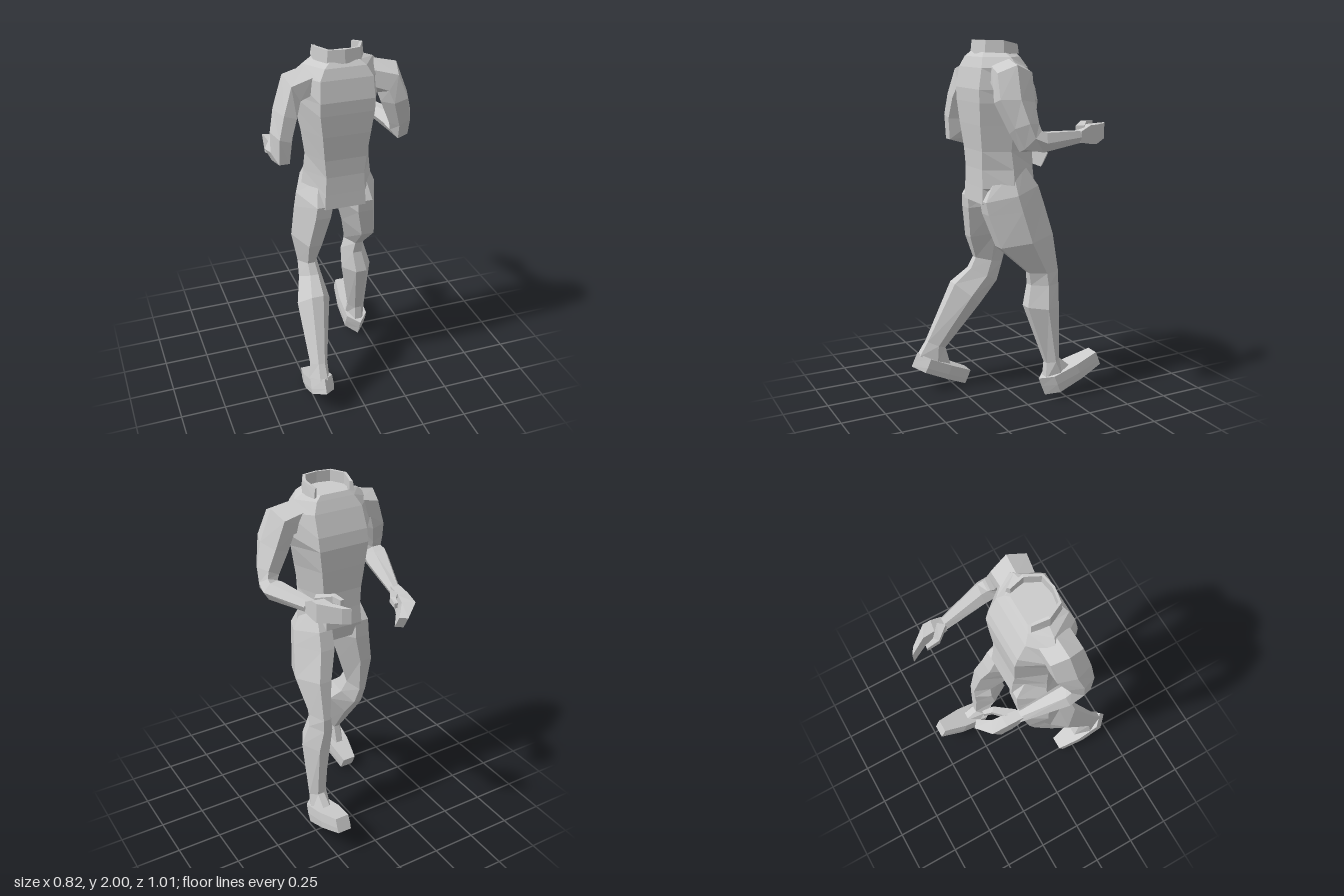
import * as THREE from 'three';

const V = (x, y, z) => new THREE.Vector3(x, y, z);
const material = new THREE.MeshStandardMaterial({ color: 0xcccccc, flatShading: true });

// Skin a list of equal-length point rings, cap both ends, and face outwards
function loft(name, rings) {
  const tris = [];
  const n = rings[0].length;
  for (let i = 0; i + 1 < rings.length; i++) {
    for (let j = 0; j < n; j++) {
      const k = (j + 1) % n;
      const [a, b, c, d] = [rings[i][j], rings[i][k], rings[i + 1][k], rings[i + 1][j]];
      tris.push([a, b, c], [a, c, d]);
    }
  }
  for (const [ring, flip] of [[rings[0], true], [rings[rings.length - 1], false]]) {
    const mid = ring.reduce((s, p) => s.add(p), V(0, 0, 0)).divideScalar(n);
    ring.forEach((p, j) => {
      const q = ring[(j + 1) % n];
      tris.push(flip ? [mid, q, p] : [mid, p, q]);
    });
  }
  let volume = 0;
  for (const [a, b, c] of tris) volume += a.dot(V(0, 0, 0).crossVectors(b, c));
  if (volume < 0) tris.forEach((t) => t.reverse());
  const geometry = new THREE.BufferGeometry().setFromPoints(tris.flat());
  geometry.computeVertexNormals();
  const mesh = new THREE.Mesh(geometry, material);
  mesh.name = name;
  return mesh;
}

// Six-sided section with corners at +-u and flats facing +-v
function hex(c, u, v, flat = 0.5) {
  return [[1, 0], [flat, 1], [-flat, 1], [-1, 0], [-flat, -1], [flat, -1]].map(([a, b]) =>
    V(...c).addScaledVector(V(...u), a).addScaledVector(V(...v), b));
}

// Four-sided section
function quad(c, u, v) {
  return [[1, 1], [-1, 1], [-1, -1], [1, -1]].map(([a, b]) =>
    V(...c).addScaledVector(V(...u), a).addScaledVector(V(...v), b));
}

// Leg section from an x range and its rear and forward points as [y, z]
function legRing([x0, x1, [yb, zb], [yf, zf]]) {
  return hex([(x0 + x1) / 2, (yb + yf) / 2, (zb + zf) / 2],
    [(x1 - x0) / 2, 0, 0], [0, (yb - yf) / 2, (zb - zf) / 2], 0.36);
}

// Torso section: height, rear z, forward z, half width, flat half width, z of the side corners
function torsoRing([y, zb, zf, w, flat, side]) {
  const ring = hex([-0.015, y, (zb + zf) / 2], [w, 0, 0], [0, 0, (zb - zf) / 2], flat / w);
  ring[0].z = ring[3].z = side;
  return ring;
}

// Shoe with a pointed heel, tilted along the line from heel to toe
function foot(name, x, [hy, hz], [ty, tz], heelRise) {
  const outline = [[0, 0], [0.066, 0.19], [0.066, 0.6], [0.042, 1], [-0.042, 1], [-0.066, 0.6], [-0.066, 0.19]];
  const length = Math.hypot(ty - hy, tz - hz);
  const up = V(0, -(tz - hz) / length, (ty - hy) / length);
  const ring = (h, s) => outline.map(([w, t]) =>
    V(x + w * s, hy + (ty - hy) * t, hz + (tz - hz) * t)
      .addScaledVector(up, h + (h > 0 ? heelRise * (1 - t) : 0)));
  return loft(name, [ring(0, 0.95), ring(0.03, 1), ring(0.084, 0.96)]);
}

export function createModel() {
  const model = new THREE.Group();

  // Trunk from crotch to neck base
  model.add(loft('torso', [
    [1.08, 0.08, 0.02, 0.03, 0.02, 0.05],
    [1.135, 0.203, -0.09, 0.15, 0.115, 0.05],
    [1.22, 0.2, -0.118, 0.2, 0.11, 0.05],
    [1.32, 0.198, -0.108, 0.188, 0.105, 0.05],
    [1.42, 0.203, -0.1, 0.18, 0.115, 0.06],
    [1.56, 0.22, -0.11, 0.2, 0.13, 0.06],
    [1.68, 0.23, -0.115, 0.225, 0.145, 0.045],
    [1.75, 0.233, -0.1, 0.245, 0.145, 0.025],
    [1.86, 0.215, -0.055, 0.245, 0.14, 0.05],
    [1.915, 0.195, -0.025, 0.19, 0.11, 0.07],
    [1.94, 0.175, -0.01, 0.125, 0.08, 0.075],
  ].map(torsoRing)));

  // Standing collar, open on the forward side
  const collarPath = [[0.112, -0.01, 1.98], [0.128, 0.08, 2], [0.085, 0.165, 2], [0, 0.18, 2],
    [-0.085, 0.165, 2], [-0.128, 0.08, 2], [-0.112, -0.01, 1.98]];
  model.add(loft('collar', collarPath.map(([x, z, top]) => {
    const at = (s, y) => V(-0.015 + x * s, y, 0.075 + (z - 0.075) * s);
    return [at(1.06, 1.93), at(1, top), at(0.88, top), at(0.88, 1.93)];
  })));

  // Legs: the left one strides forward, the right one trails
  model.add(loft('leftLeg', [
    [0.03, 0.155, [1.28, 0.13], [1.34, -0.04]],
    [-0.01, 0.21, [1.15, 0.2], [1.22, -0.118]],
    [-0.01, 0.222, [1.08, 0.188], [1.12, -0.15]],
    [0.045, 0.243, [0.9, 0.13], [0.95, -0.19]],
    [0.1, 0.215, [0.74, -0.045], [0.73, -0.228]],
    [0.08, 0.225, [0.67, -0.055], [0.66, -0.23]],
    [0.08, 0.26, [0.55, -0.025], [0.53, -0.222]],
    [0.14, 0.25, [0.21, -0.14], [0.23, -0.22]],
    [0.137, 0.257, [0.1, -0.13], [0.15, -0.31]],
  ].map(legRing)));
  model.add(loft('rightLeg', [
    [-0.185, -0.06, [1.28, 0.13], [1.34, -0.04]],
    [-0.243, -0.02, [1.15, 0.2], [1.22, -0.112]],
    [-0.255, -0.02, [1.08, 0.195], [1.12, -0.112]],
    [-0.273, -0.075, [0.9, 0.165], [0.95, -0.095]],
    [-0.24, -0.13, [0.77, 0.12], [0.73, -0.05]],
    [-0.245, -0.115, [0.71, 0.155], [0.62, -0.01]],
    [-0.287, -0.1, [0.63, 0.255], [0.49, 0.1]],
    [-0.275, -0.175, [0.29, 0.41], [0.24, 0.3]],
    [-0.288, -0.168, [0.21, 0.46], [0.13, 0.27]],
  ].map(legRing)));
  model.add(foot('leftFoot', 0.197, [0.012, -0.14], [0.15, -0.485], 0.03));
  model.add(foot('rightFoot', -0.228, [0.15, 0.505], [0, 0.185], 0));

  // Arms, bent at the elbow
  model.add(loft('leftArm', [
    hex([0.14, 1.83, 0.08], [0.02, 0.08, 0], [0, 0, 0.09]),
    hex([0.245, 1.8, 0.095], [0.05, 0.08, 0], [0, 0, 0.1]),
    hex([0.285, 1.69, 0.105], [0.073, 0.02, 0], [0, 0.01, 0.1]),
    hex([0.335, 1.56, 0.075], [0.06, 0.03, 0], [0, -0.01, 0.07]),
    hex([0.348, 1.495, 0.045], [0.055, 0.02, 0], [0, -0.045, 0.05]),
    hex([0.347, 1.488, -0.03], [0.064, 0, 0.01], [0, -0.05, 0.01]),
    hex([0.284, 1.495, -0.29], [0.037, 0, 0.01], [0, -0.032, 0]),
  ]));
  model.add(loft('rightArm', [
    hex([-0.17, 1.83, 0.08], [-0.02, 0.08, 0], [0, 0, 0.09]),
    hex([-0.27, 1.8, 0.09], [-0.045, 0.08, 0], [0, 0, 0.09]),
    hex([-0.308, 1.69, 0.11], [-0.066, 0.02, 0], [0, 0, 0.095]),
    hex([-0.34, 1.58, 0.14], [-0.06, 0.02, 0], [0, -0.01, 0.075]),
    hex([-0.346, 1.49, 0.145], [-0.055, 0, 0], [0, -0.05, 0.06]),
    hex([-0.345, 1.465, 0.06], [-0.064, 0.01, 0], [0, -0.06, 0.01]),
    hex([-0.305, 1.375, -0.18], [-0.03, 0, 0], [0, -0.034, -0.01]),
  ]));

  // Curled mitten hands with separate thumbs
  model.add(loft('leftHand', [
    quad([0.284, 1.495, -0.28], [0.03, 0, 0], [0, 0.03, 0]),
    quad([0.279, 1.505, -0.345], [0.032, 0, 0.005], [0, 0.05, 0]),
    quad([0.275, 1.505, -0.4], [0.034, 0, 0.016], [0, 0.052, 0]),
    quad([0.205, 1.51, -0.495], [0.02, 0, 0.012], [0, 0.042, 0]),
  ]));
  model.add(loft('leftThumb', [
    quad([0.268, 1.53, -0.3], [0.015, 0, -0.018], [0, 0.022, 0]),
    quad([0.198, 1.55, -0.365], [0.014, 0, -0.01], [0, 0.018, 0]),
    quad([0.187, 1.55, -0.425], [0.01, 0, 0], [0, 0.014, 0]),
  ]));
  model.add(loft('rightHand', [
    quad([-0.305, 1.378, -0.17], [0.026, 0, 0], [0, 0.032, 0.01]),
    quad([-0.296, 1.355, -0.24], [0.031, 0, 0], [0, 0.045, -0.015]),
    quad([-0.288, 1.335, -0.295], [0.033, 0, 0.016], [0, 0.045, -0.025]),
    quad([-0.218, 1.298, -0.36], [0.018, 0, 0.015], [0, 0.036, -0.02]),
  ]));
  model.add(loft('rightThumb', [
    quad([-0.285, 1.38, -0.19], [0.015, 0, 0.018], [0, 0.02, 0]),
    quad([-0.217, 1.395, -0.275], [0.013, 0, 0.01], [0, 0.016, 0]),
    quad([-0.204, 1.385, -0.325], [0.01, 0, 0], [0, 0.014, 0]),
  ]));

  return model;
}
